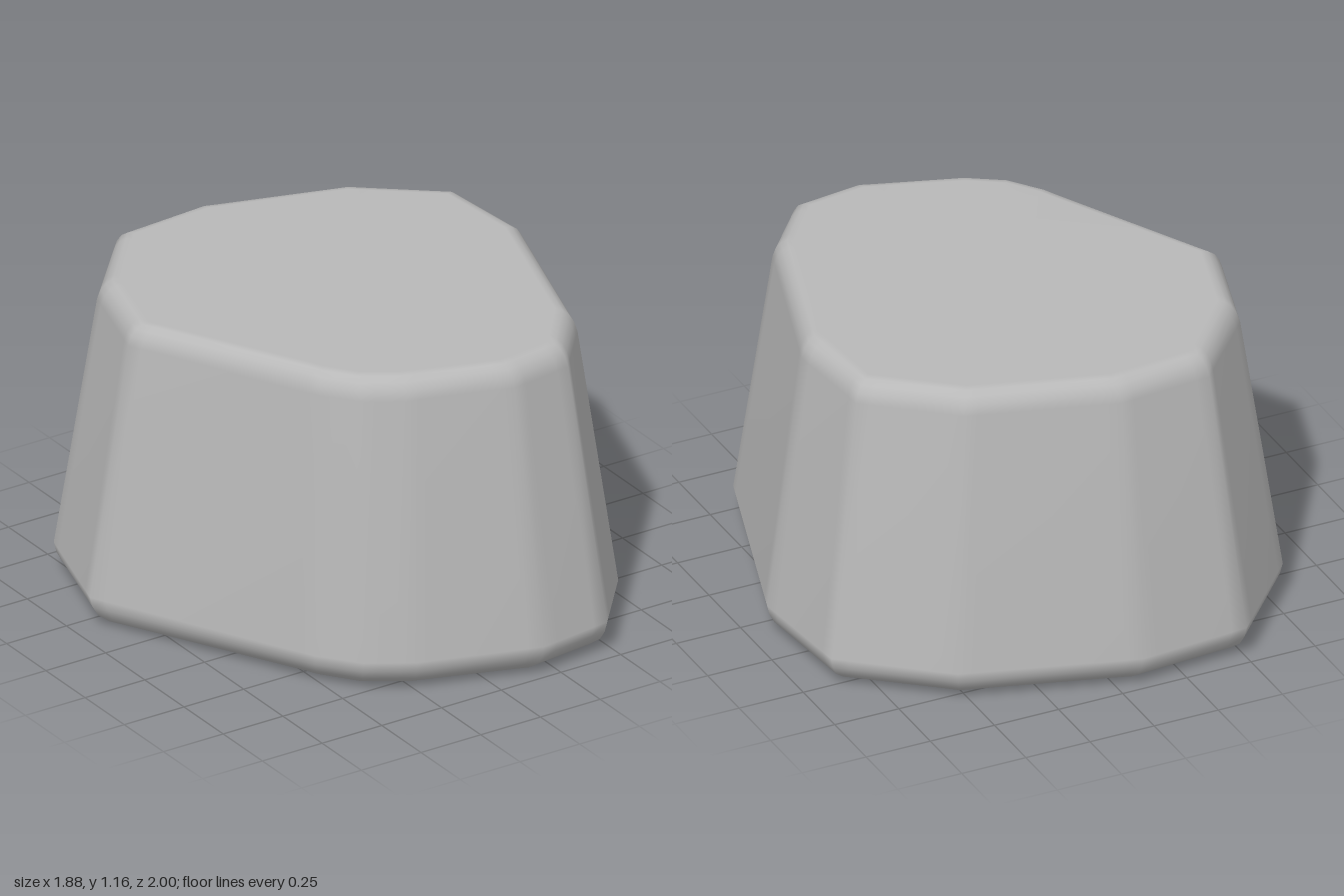
import * as THREE from 'three';

// Widest outline of the stone as x, z corners
const CORNERS = [
  [-0.08, -1.0], [0.55, -0.81], [0.9, -0.52], [0.94, -0.09], [0.68, 0.71], [0.47, 0.96],
  [0.18, 1.0], [-0.26, 0.86], [-0.42, 0.76], [-0.53, 0.62], [-0.94, -0.19], [-0.81, -0.62], [-0.5, -0.965],
].map(([x, z]) => new THREE.Vector2(x, z));

// Height and inward offset of each ring, from the base to the top, plus taper scale
const RINGS = [
  [0, 0.12], [0.012, 0.075], [0.045, 0.03], [0.08, 0.01], [0.12, 0],
  [1.08, 0], [1.115, 0.008], [1.14, 0.025], [1.155, 0.05], [1.16, 0.08],
];
const taper = (y) => 1 - 0.155 * Math.max(0, y - 0.12);

// Adds a point close to each side of every corner, so only the corners shade softly
function softOutline(corners, reach) {
  const n = corners.length;
  return corners.flatMap((p, i) => {
    const toward = (q) => p.clone().add(q.clone().sub(p).setLength(Math.min(reach, p.distanceTo(q) * 0.35)));
    return [toward(corners[(i + n - 1) % n]), p, toward(corners[(i + 1) % n])];
  });
}

function stoneGeometry() {
  const outline = softOutline(CORNERS, 0.06);
  const n = outline.length;
  const positions = [];
  const index = [];
  for (const [y, inset] of RINGS) {
    for (const p of outline) {
      const s = taper(y) * (1 - inset / p.length());
      positions.push(p.x * s, y, p.y * s);
    }
  }
  // Side bands
  for (let r = 0; r < RINGS.length - 1; r++) {
    for (let i = 0; i < n; i++) {
      const a = r * n + i, b = r * n + (i + 1) % n;
      index.push(a, a + n, b, b, a + n, b + n);
    }
  }
  // Flat base and top
  const base = positions.length / 3, top = base + 1, last = (RINGS.length - 1) * n;
  positions.push(0, 0, 0, 0, 1.16, 0);
  for (let i = 0; i < n; i++) {
    const j = (i + 1) % n;
    index.push(base, i, j, top, last + j, last + i);
  }
  const geometry = new THREE.BufferGeometry();
  geometry.setAttribute('position', new THREE.Float32BufferAttribute(positions, 3));
  geometry.setIndex(index);
  geometry.computeVertexNormals();
  return geometry;
}

export function createModel() {
  const group = new THREE.Group();
  group.name = 'rock';
  const stoneGrey = new THREE.MeshStandardMaterial({ color: 0xb8b8b8 });
  stoneGrey.name = 'stone grey';
  const stone = new THREE.Mesh(stoneGeometry(), stoneGrey);
  stone.name = 'stone';
  group.add(stone);
  return group;
}
